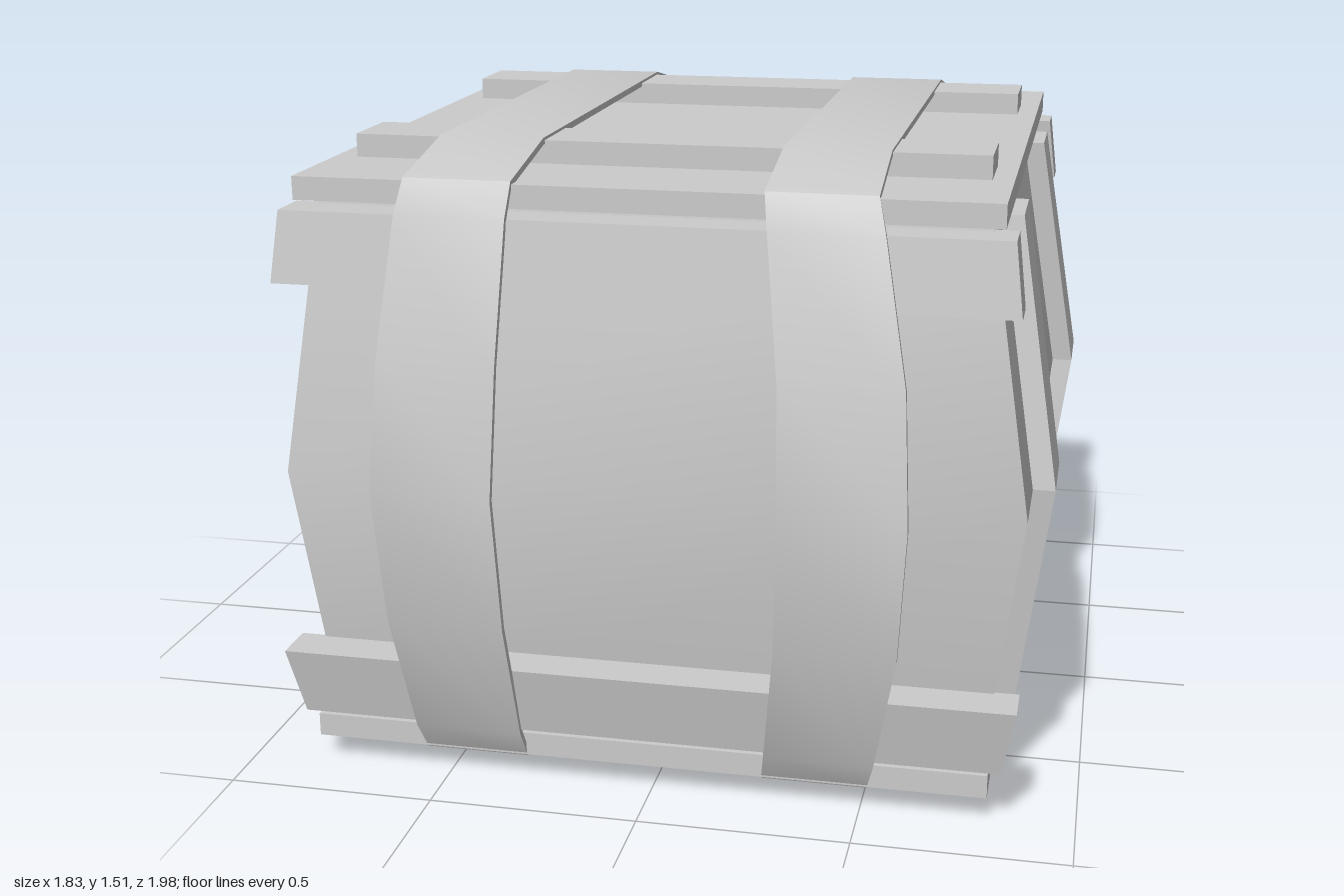
import * as THREE from 'three';
import { toCreasedNormals } from 'three/addons/utils/BufferGeometryUtils.js';

const MID = 0.76;
const lerp = THREE.MathUtils.lerp;

function addMesh(parent, name, geometry, crease) {
  const mesh = new THREE.Mesh(toCreasedNormals(geometry, crease), new THREE.MeshStandardMaterial({ color: 0xcccccc }));
  mesh.name = name;
  parent.add(mesh);
}

// A unit box (u, v, w from -0.5 to 0.5) whose vertices are moved by a rule
function block(parent, name, rule, rows = 1, crease = 0.1) {
  const geometry = new THREE.BoxGeometry(1, 1, 1, 1, rows, 1);
  const p = geometry.attributes.position;
  for (let i = 0; i < p.count; i++) p.setXYZ(i, ...rule(p.getX(i), p.getY(i), p.getZ(i)));
  geometry.computeVertexNormals();
  addMesh(parent, name, geometry, crease);
}

// An axis-aligned board between two corners
function board(parent, name, x0, x1, y0, y1, z0, z1) {
  block(parent, name, (u, v, w) => [lerp(x0, x1, u + 0.5), lerp(y0, y1, v + 0.5), lerp(z0, z1, w + 0.5)]);
}

// A closed band around the crate, drifting outwards in x around mid height
function strap(parent, name, ends, middle) {
  const corner = [[0.58, 1.517], [0.84, 1.463], [0.878, 1.385], [0.94, 1.06], [0.992, MID],
    [0.95, 0.43], [0.88, 0.135], [0.84, 0.06], [0.58, 0.003]];
  const path = [...corner, ...corner.map(([z, y]) => [-z, y]).reverse()];
  const n = path.length;
  const rings = path.map(([z, y], i) => {
    const a = path[(i + n - 1) % n], b = path[(i + 1) % n];
    const dz = b[0] - a[0], dy = b[1] - a[1], l = Math.hypot(dz, dy) / 0.016;
    const iz = z + dy / l, iy = y - dz / l; // inner surface point
    const k = 1 - Math.min(1, ((y - MID) / 0.72) ** 2);
    const x0 = lerp(ends[0], middle[0], k), x1 = lerp(ends[1], middle[1], k);
    return [[x0, y, z], [x1, y, z], [x1, iy, iz], [x0, iy, iz]];
  });
  const v = [];
  for (let i = 0; i < n; i++) {
    const p = rings[i], q = rings[(i + 1) % n];
    for (let c = 0; c < 4; c++) {
      const d = (c + 1) % 4;
      v.push(...p[c], ...q[c], ...q[d], ...p[c], ...q[d], ...p[d]);
    }
  }
  const geometry = new THREE.BufferGeometry();
  geometry.setAttribute('position', new THREE.Float32BufferAttribute(v, 3));
  geometry.computeVertexNormals();
  addMesh(parent, name, geometry, 0.75);
}

export function createModel() {
  const crate = new THREE.Group();
  crate.name = 'crate';

  // Body swelling towards mid height
  block(crate, 'body', (u, v, w) => {
    const y = MID + v * 1.28, k = 1 - Math.abs(v) * 2;
    const low = v < 0 ? 0.02 : 0;
    const x = u < 0 ? lerp(-0.79 - low, -0.86, k) : lerp(0.755 + low, 0.86, k);
    return [x, y, 2 * w * lerp(0.77, 0.88, k)];
  }, 2, 0.6);

  // Lid and base with their cross battens
  board(crate, 'lid', -0.825, 0.785, 1.4, 1.455, -0.835, 0.835);
  board(crate, 'base', -0.835, 0.795, 0.065, 0.122, -0.842, 0.845);
  for (const s of [-1, 1]) {
    board(crate, 'lidBatten', -0.77, 0.735, 1.45, 1.51, s * 0.48 - 0.09, s * 0.48 + 0.09);
    board(crate, 'baseBatten', -0.77, 0.735, 0.013, 0.07, s * 0.48 - 0.09, s * 0.48 + 0.09);
  }

  // Leaning rails across the front and back
  for (const s of [-1, 1]) {
    block(crate, 'upperRail', (u, v, w) => {
      const t = 0.5 - v;
      return [-0.02 + 2 * u * lerp(0.83, 0.85, t), lerp(1.382, 1.215, t), s * lerp(0.81, 0.83, t) + w * 0.11];
    });
    block(crate, 'lowerRail', (u, v, w) => {
      const t = v + 0.5;
      return [-0.015 + 2 * u * lerp(0.84, 0.872, t), lerp(0.142, 0.31, t), s * lerp(0.815, 0.85, t) + w * 0.11];
    });
  }

  // Bent upright slats on both sides
  for (const sx of [-1, 1]) for (const sz of [-1, 1]) {
    block(crate, sx > 0 ? 'leftSlat' : 'rightSlat', (u, v, w) => {
      const k = 1 - Math.abs(v) * 2;
      const end = (sx > 0 ? 0.81 : 0.845) + (v < 0 ? 0.02 : 0);
      const outer = lerp(end, sx > 0 ? 0.912 : 0.92, k);
      const x = sx * (outer - 0.05) + u * 0.1;
      return [x, MID + v * 1.24, sz * lerp(0.485, 0.555, k) + w * lerp(0.19, 0.21, k)];
    }, 2);
  }

  // Straps around the whole crate
  strap(crate, 'rightStrap', [-0.555, -0.305], [-0.615, -0.33]);
  strap(crate, 'leftStrap', [0.262, 0.51], [0.322, 0.61]);

  return crate;
}
